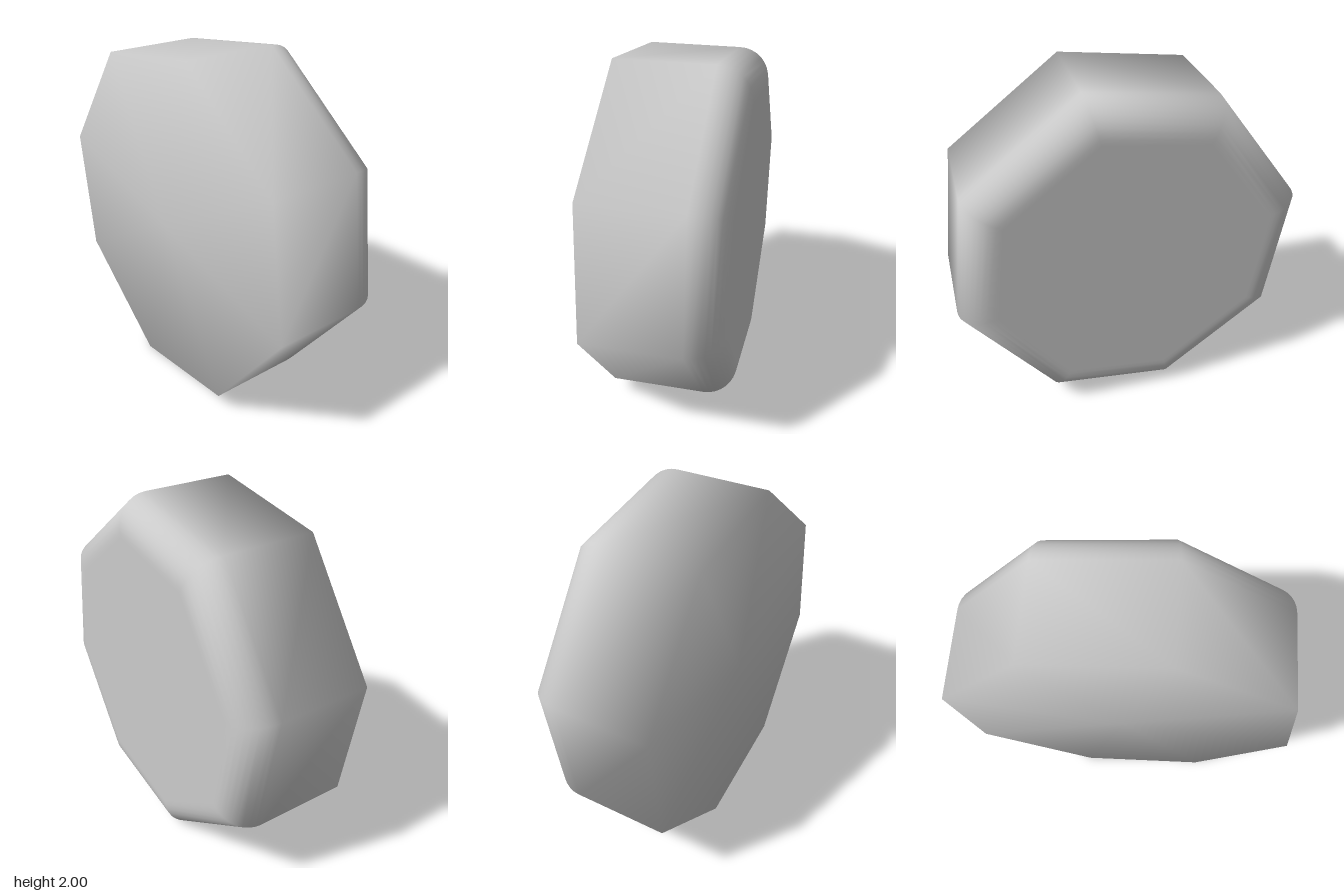
import * as THREE from 'three';

export function createModel() {
  const group = new THREE.Group();
  const deg = Math.PI / 180;
  const radius = 1.03, half = 0.365, bevel = 0.185;

  // Profile: flat back, straight side wall, rounded front rim, flat front
  const profile = [
    new THREE.Vector2(0, -half),
    new THREE.Vector2(radius, -half),
  ];
  const steps = 8;
  for (let i = 0; i <= steps; i++) {
    const a = (i / steps) * Math.PI / 2;
    profile.push(new THREE.Vector2(
      radius - bevel + bevel * Math.cos(a),
      half - bevel + bevel * Math.sin(a)));
  }
  profile.push(new THREE.Vector2(radius - bevel - 0.03, half), new THREE.Vector2(0, half));

  const geometry = new THREE.LatheGeometry(profile, 8, 13.5 * deg);

  // Every second corner of the octagon sits slightly further round
  const axis = new THREE.Vector3(0, 1, 0);
  const v = new THREE.Vector3();
  for (const attribute of [geometry.attributes.position, geometry.attributes.normal]) {
    for (let i = 0; i < attribute.count; i++) {
      const column = Math.floor(i / profile.length);
      if (column % 2 === 0) continue;
      v.fromBufferAttribute(attribute, i).applyAxisAngle(axis, 2.3 * deg);
      attribute.setXYZ(i, v.x, v.y, v.z);
    }
  }

  // Turn the rounded face towards +x and stand it on the ground
  geometry.rotateZ(-Math.PI / 2);
  const disc = new THREE.Mesh(geometry, new THREE.MeshStandardMaterial({ color: 0xcccccc }));
  disc.name = 'roundedOctagonDisc';
  disc.position.y = 1;
  group.add(disc);
  return group;
}
